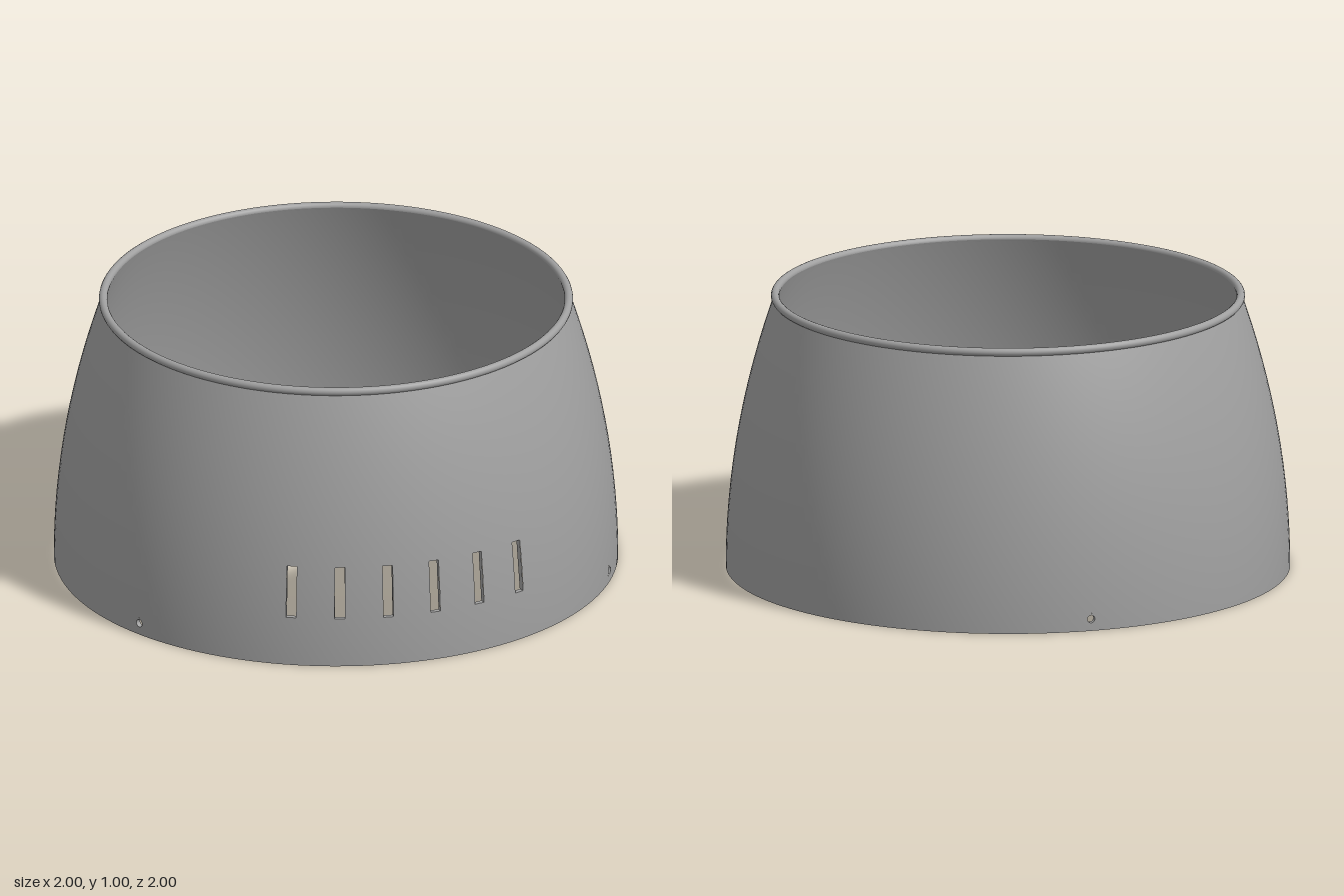
import * as THREE from 'three';

const WALL = 0.018, TOP = 0.985;
const HALF = 1.05;                        // half angle of a slot or hole cell, degrees
const SLOTS = [-25, -15, -5, 5, 15, 25];  // slot angles measured from the front
const SCREWS = [-60, 60, 180];            // round hole angles
const SLOT_Y = [0.18, 0.37], SCREW_Y = [0.022, 0.064], SCREW_R = 0.014;

// Outer radius of the curved wall, and its slope
const radius = (y) => 1 - 0.178 * y * y;
const slope = (y) => -0.356 * y;

// A point [angle, y] placed on the outer or inner skin
function onSkin([deg, y], inner) {
  const a = THREE.MathUtils.degToRad(deg), r = radius(y) - (inner ? WALL : 0);
  return new THREE.Vector3(r * Math.sin(a), y, r * Math.cos(a));
}
function skinNormal([deg, y], inner) {
  const a = THREE.MathUtils.degToRad(deg);
  return new THREE.Vector3(Math.sin(a), -slope(y), Math.cos(a)).normalize().multiplyScalar(inner ? -1 : 1);
}

function wallGeometry() {
  const pos = [], nor = [];
  const quad = (p, n) => [0, 1, 2, 0, 2, 3].forEach((i) => {
    pos.push(...p[i].toArray());
    nor.push(...n[i].toArray());
  });
  // Both skins over one patch, corners counter-clockwise from outside
  const patch = (c) => {
    quad(c.map((p) => onSkin(p, false)), c.map((p) => skinNormal(p, false)));
    const r = [...c].reverse();
    quad(r.map((p) => onSkin(p, true)), r.map((p) => skinNormal(p, true)));
  };
  // Flat face through the wall thickness along the edge p to q
  const jamb = (p, q) => {
    const v = [onSkin(p, false), onSkin(q, false), onSkin(q, true), onSkin(p, true)];
    const n = v[1].clone().sub(v[0]).cross(v[2].clone().sub(v[0])).normalize();
    quad(v, [n, n, n, n]);
  };

  // Grid lines, with each cut centre replaced by its two edges
  const cuts = [...SLOTS, ...SCREWS], angles = [];
  for (let a = -177.5; a <= 182.5; a += 2.5) {
    if (cuts.includes(a)) angles.push(a - HALF, a + HALF);
    else angles.push(a);
  }
  const heights = [0, ...SCREW_Y, 0.12, ...SLOT_Y, 0.24, 0.305];
  for (let i = 1; i <= 10; i++) heights.push(0.37 + (TOP - 0.37) * i / 10);
  heights.sort((a, b) => a - b);

  for (let i = 0; i < angles.length - 1; i++) {
    const a0 = angles[i], a1 = angles[i + 1], mid = (a0 + a1) / 2;
    const at = (list) => list.some((c) => Math.abs(c - mid) < 0.01);
    const slot = at(SLOTS), screw = at(SCREWS);
    for (let j = 0; j < heights.length - 1; j++) {
      const y0 = heights[j], y1 = heights[j + 1], ym = (y0 + y1) / 2;
      if (slot && ym > SLOT_Y[0] && ym < SLOT_Y[1]) continue;
      if (screw && ym > SCREW_Y[0] && ym < SCREW_Y[1]) continue;
      patch([[a0, y0], [a1, y0], [a1, y1], [a0, y1]]);
    }
    jamb([a1, 0], [a0, 0]); // bottom edge
    if (slot) {
      const [b, t] = SLOT_Y, c = [[a0, b], [a1, b], [a1, t], [a0, t]];
      c.forEach((p, k) => jamb(p, c[(k + 1) % 4]));
    }
    if (screw) {
      // Ring of patches between the square cell and the round hole
      const yc = (SCREW_Y[0] + SCREW_Y[1]) / 2, hy = (SCREW_Y[1] - SCREW_Y[0]) / 2;
      const rDeg = THREE.MathUtils.radToDeg(SCREW_R), n = 24;
      const circle = [], square = [];
      for (let k = 0; k <= n; k++) {
        const t = k / n * Math.PI * 2, c = Math.cos(t), s = Math.sin(t);
        const m = Math.max(Math.abs(c), Math.abs(s));
        circle.push([mid + rDeg * c, yc + SCREW_R * s]);
        square.push([mid + HALF * c / m, yc + hy * s / m]);
      }
      for (let k = 0; k < n; k++) {
        patch([circle[k], square[k], square[k + 1], circle[k + 1]]);
        jamb(circle[k], circle[k + 1]);
      }
    }
  }
  const g = new THREE.BufferGeometry();
  g.setAttribute('position', new THREE.Float32BufferAttribute(pos, 3));
  g.setAttribute('normal', new THREE.Float32BufferAttribute(nor, 3));
  return g;
}

export function createModel() {
  const group = new THREE.Group();
  group.name = 'ventedShroud';
  const grey = new THREE.MeshStandardMaterial({ color: 0xa0a0a0 });
  grey.name = 'grey';

  // Tapered wall with vent slots and screw holes
  const wall = new THREE.Mesh(wallGeometry(), grey);
  wall.name = 'slottedWall';

  // Rounded bead around the top opening
  const bead = new THREE.Mesh(new THREE.TorusGeometry(0.825, 0.015, 16, 144), grey);
  bead.name = 'topBead';
  bead.rotation.x = Math.PI / 2;
  bead.position.y = TOP;

  group.add(wall, bead);
  return group;
}
